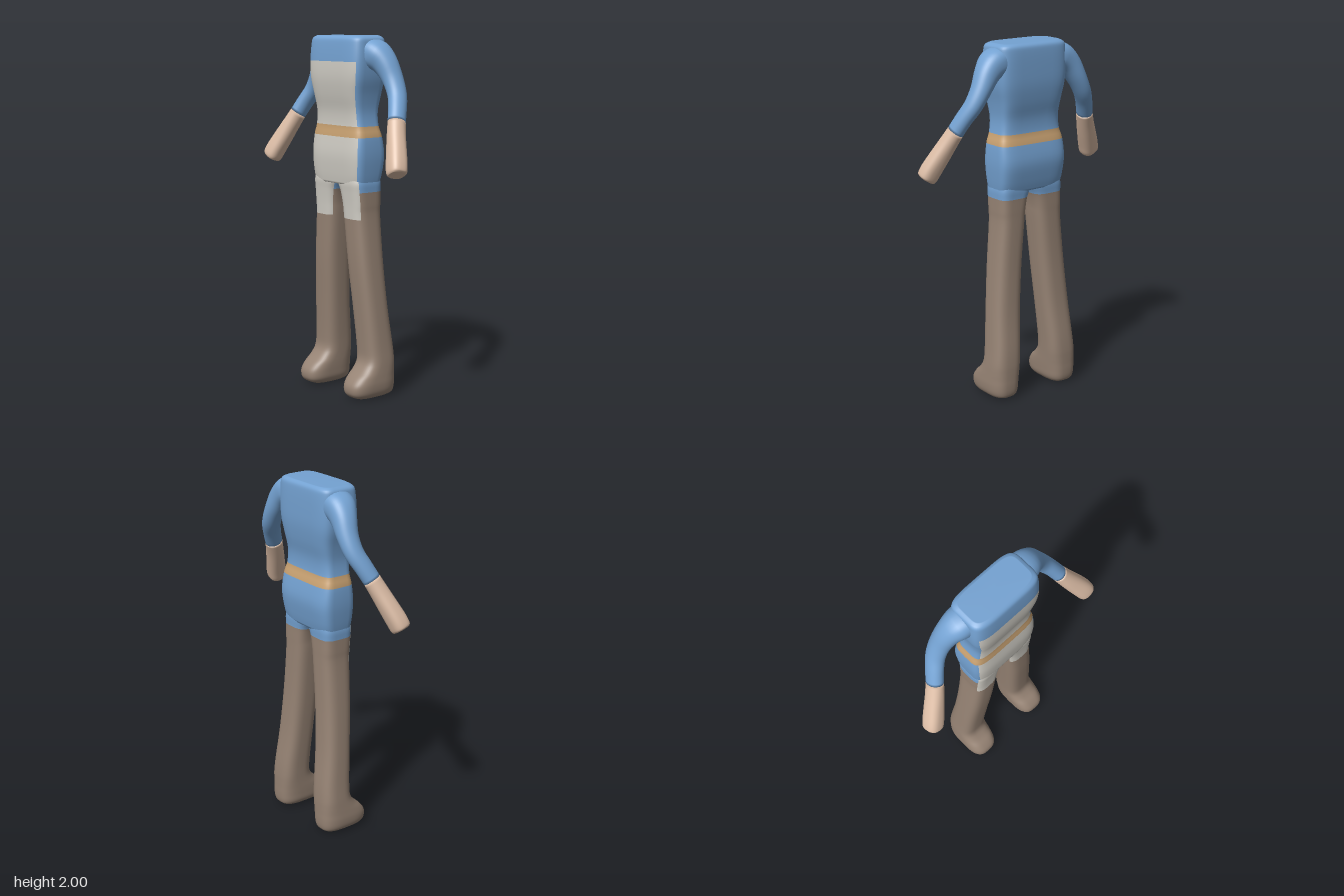
import * as THREE from 'three';

const mat = (name, color) => Object.assign(new THREE.MeshStandardMaterial({ color }), { name });

const SIDES = 48, STEPS = 4;

// Smooth interpolation between key sections (arrays of equal length)
function refine(keys) {
  const out = [];
  const at = i => keys[Math.max(0, Math.min(keys.length - 1, i))];
  for (let i = 0; i < keys.length - 1; i++) {
    const [a, b, c, d] = [at(i - 1), at(i), at(i + 1), at(i + 2)];
    for (let s = 0; s < STEPS; s++) {
      const t = s / STEPS;
      out.push(b.map((_, k) => 0.5 * (2 * b[k] + (c[k] - a[k]) * t
        + (2 * a[k] - 5 * b[k] + 4 * c[k] - d[k]) * t * t
        + (3 * b[k] - a[k] - 3 * c[k] + d[k]) * t * t * t)));
    }
  }
  out.push(at(keys.length - 1));
  return out;
}

// Closed skin over superellipse sections [x, y, z, radiusU, radiusV, squareness].
// paint(y, angle) picks the material index of each face.
function loft(name, keys, materials, paint, followPath = false) {
  const rings = refine(keys);
  const centres = rings.map(r => new THREE.Vector3(r[0], r[1], r[2]));
  const pos = [], buckets = materials.map(() => []);
  rings.forEach((r, i) => {
    const u = new THREE.Vector3(1, 0, 0), v = new THREE.Vector3(0, 0, 1);
    if (followPath) {
      const t = centres[Math.min(i + 1, rings.length - 1)].clone().sub(centres[Math.max(i - 1, 0)]).normalize();
      v.addScaledVector(t, -v.dot(t)).normalize();
      u.crossVectors(t, v);
    }
    for (let j = 0; j < SIDES; j++) {
      const a = j / SIDES * Math.PI * 2, e = 2 / r[5];
      const c = Math.cos(a), s = Math.sin(a);
      const p = centres[i].clone()
        .addScaledVector(u, Math.sign(c) * Math.abs(c) ** e * r[3])
        .addScaledVector(v, Math.sign(s) * Math.abs(s) ** e * r[4]);
      pos.push(p.x, p.y, p.z);
    }
  });
  const last = rings.length - 1, bottom = pos.length / 3, top = bottom + 1;
  pos.push(...centres[0].toArray(), ...centres[last].toArray());
  for (let j = 0; j < SIDES; j++) {
    const k = (j + 1) % SIDES, angle = (j + 0.5) / SIDES * Math.PI * 2;
    for (let i = 0; i < last; i++) {
      const a = i * SIDES + j, b = i * SIDES + k;
      const y = (rings[i][1] + rings[i + 1][1]) / 2;
      buckets[paint(y, angle)].push(a, a + SIDES, b, b, a + SIDES, b + SIDES);
    }
    buckets[paint(rings[0][1], angle)].push(bottom, j, k);
    buckets[paint(rings[last][1], angle)].push(top, last * SIDES + k, last * SIDES + j);
  }
  const geo = new THREE.BufferGeometry();
  geo.setAttribute('position', new THREE.Float32BufferAttribute(pos, 3));
  geo.setIndex(buckets.flat());
  let start = 0;
  buckets.forEach((b, m) => { geo.addGroup(start, b.length, m); start += b.length; });
  geo.computeVertexNormals();
  const mesh = new THREE.Mesh(geo, materials);
  mesh.name = name;
  return mesh;
}

// Upright section from its height, x centre, half width, back z, front z
const slab = (y, x, half, back, front, n) => [x, y, (back + front) / 2, half, (front - back) / 2, n];

export function createModel() {
  const model = new THREE.Group();
  model.name = 'figure';
  const blue = mat('blue cloth', 0x74a2d2);
  const white = mat('off-white cloth', 0xcfccc4);
  const tan = mat('tan belt', 0xc9a272);
  const brown = mat('brown trousers', 0x96826f);
  const skin = mat('skin', 0xdcbda6);
  brown.color.set(0x968374);

  const isFront = a => a > 0.66 && a < Math.PI - 0.66;

  // Torso: blue coat, off-white front panel, belt all around
  model.add(loft('torso', [
    slab(1.19, 0, 0.205, -0.105, 0.088, 4.5),
    slab(1.25, 0, 0.213, -0.118, 0.095, 5),
    slab(1.35, 0, 0.22, -0.13, 0.1, 5),
    slab(1.45, 0, 0.215, -0.115, 0.09, 5),
    slab(1.51, 0, 0.2, -0.1, 0.082, 5),
    slab(1.59, 0, 0.192, -0.1, 0.085, 5),
    slab(1.68, 0, 0.202, -0.118, 0.103, 5),
    slab(1.77, 0, 0.22, -0.13, 0.115, 5),
    slab(1.86, 0, 0.226, -0.132, 0.115, 5),
    slab(1.95, 0, 0.222, -0.13, 0.108, 5),
    slab(1.985, 0, 0.215, -0.124, 0.1, 5),
    slab(2.0, 0, 0.19, -0.105, 0.08, 5),
  ], [blue, white, tan], (y, a) =>
    y > 1.45 && y < 1.51 ? 2 : y < 1.86 && isFront(a) ? 1 : 0));

  for (const [side, s] of [['left', 1], ['right', -1]]) {
    // Leg and foot: panel tails in front, coat hem at the sides and back
    model.add(loft(side + 'Leg', [
      slab(0.0, s * 0.2, 0.05, -0.11, 0.09, 3),
      slab(0.015, s * 0.202, 0.075, -0.14, 0.125, 3),
      slab(0.04, s * 0.202, 0.088, -0.15, 0.142, 3),
      slab(0.08, s * 0.202, 0.092, -0.153, 0.14, 3),
      slab(0.12, s * 0.2, 0.092, -0.153, 0.112, 3),
      slab(0.16, s * 0.198, 0.091, -0.153, 0.068, 3),
      slab(0.21, s * 0.195, 0.09, -0.152, 0.038, 3),
      slab(0.3, s * 0.188, 0.088, -0.145, 0.037, 3),
      slab(0.5, s * 0.172, 0.087, -0.122, 0.05, 3),
      slab(0.75, s * 0.15, 0.086, -0.108, 0.068, 3),
      slab(1.0, s * 0.127, 0.085, -0.104, 0.076, 3.2),
      slab(1.08, s * 0.123, 0.087, -0.104, 0.079, 3.5),
      slab(1.15, s * 0.116, 0.093, -0.104, 0.084, 3.8),
      slab(1.2, s * 0.106, 0.102, -0.106, 0.088, 4),
      slab(1.25, s * 0.1, 0.095, -0.1, 0.08, 4),
    ], [brown, white, blue], (y, a) =>
      y > 1 && isFront(a) ? 1 : y > 1.15 ? 2 : 0));

    // Sleeve runs from inside the shoulder to the wrist
    model.add(loft(side + 'Sleeve', [
      [s * 0.15, 1.915, -0.025, 0.07, 0.085, 2.6],
      [s * 0.22, 1.895, -0.035, 0.08, 0.085, 2.4],
      [s * 0.275, 1.85, -0.05, 0.068, 0.07, 2.2],
      [s * 0.325, 1.77, -0.062, 0.055, 0.06, 2],
      [s * 0.37, 1.69, -0.055, 0.048, 0.055, 2],
      [s * 0.41, 1.62, -0.025, 0.044, 0.052, 2],
      [s * 0.442, 1.55, 0.008, 0.044, 0.05, 2],
    ], [blue], () => 0, true));

    // Bare forearm and hand
    model.add(loft(side + 'Hand', [
      [s * 0.442, 1.55, 0.008, 0.044, 0.05, 2],
      [s * 0.475, 1.48, 0.038, 0.048, 0.05, 2.2],
      [s * 0.51, 1.41, 0.066, 0.052, 0.051, 2.4],
      [s * 0.545, 1.34, 0.094, 0.054, 0.052, 2.6],
      [s * 0.562, 1.3, 0.108, 0.052, 0.05, 2.6],
      [s * 0.568, 1.288, 0.112, 0.042, 0.042, 2.6],
    ], [skin], () => 0, true));
  }
  return model;
}
